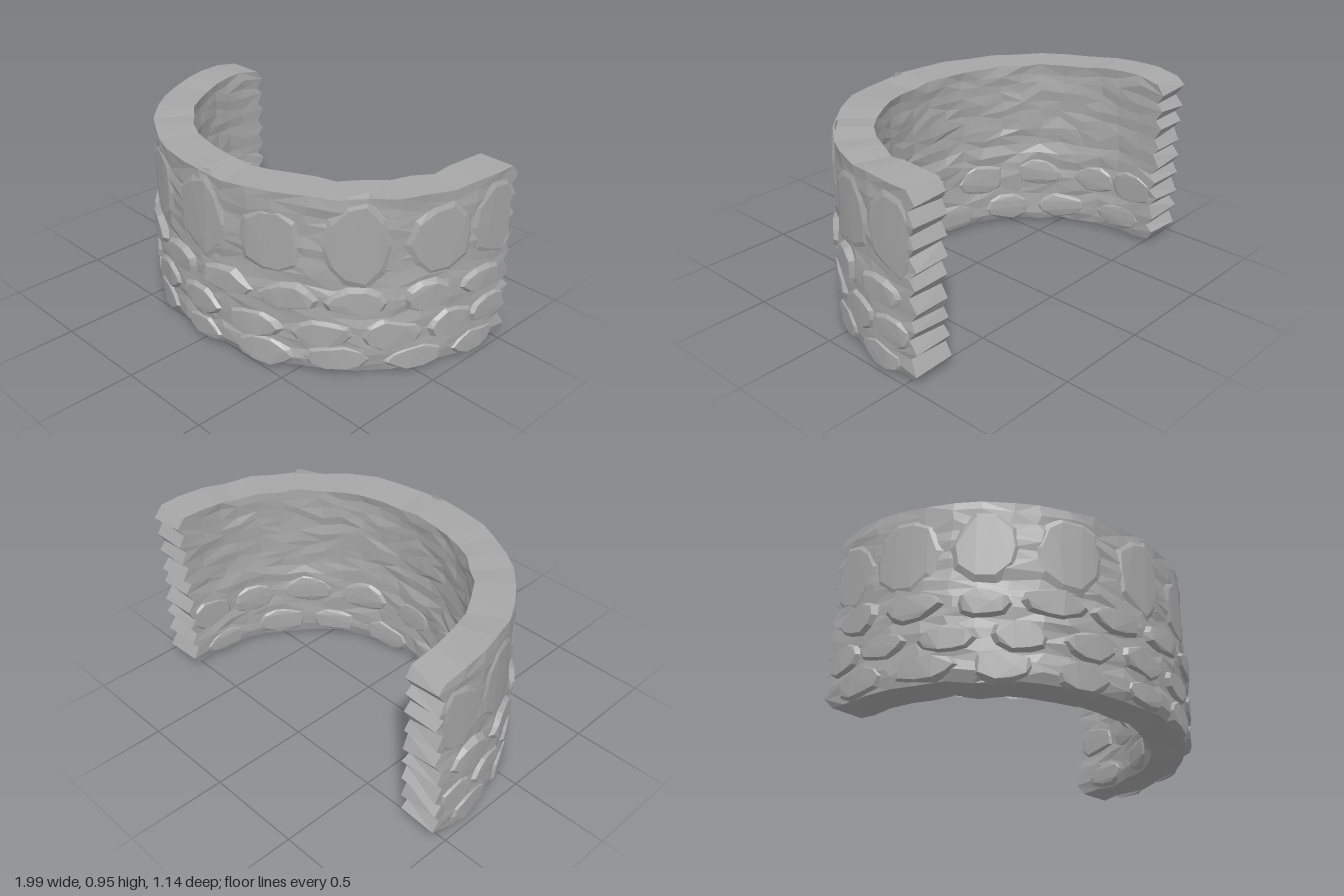
import * as THREE from 'three';
import { ConvexGeometry } from 'three/addons/geometries/ConvexGeometry.js';

const ARC = 0.91; // share of the path that is curved, the rest runs straight back

// Seeded random in -1..1
let seed = 7;
function rnd() {
  seed = (seed * 16807) % 2147483647;
  return (seed / 2147483647) * 2 - 1;
}

// Wall space to world: u = -1..1 along the wall, k = 0 inner face, 1 outer face
function place(u, y, k) {
  const a = THREE.MathUtils.clamp(u / ARC, -1, 1) * Math.PI / 2;
  const back = Math.max(0, (Math.abs(u) - ARC) / (1 - ARC)) * 0.14;
  const rx = 0.78 + 0.19 * k, rz = 0.74 + 0.205 * k;
  return new THREE.Vector3(rx * Math.sin(a), y, -0.4 + rz * Math.cos(a) - back);
}

// Wall body: cross-section loops swept along the path, closed with toothed ends
function wallGeometry() {
  const cols = 24, rows = 18, n = 2 * (rows + 1);
  const loops = [];
  for (let i = 0; i <= cols; i++) {
    const end = i === 0 || i === cols;
    const u0 = (i / cols) * 2 - 1;
    const top = 0.926 + 0.012 * rnd(), bottom = 0.022 + 0.01 * rnd();
    const loop = [];
    for (let side = 1; side >= 0; side--) {
      for (let r = 0; r <= rows; r++) {
        const j = side ? r : rows - r;
        const edge = j === 0 || j === rows;
        const tooth = end ? Math.sign(u0) * ((j % 2 ? 0.012 : -0.012) + 0.004 * rnd()) : 0.012 * rnd();
        const y = bottom + (top - bottom) * j / rows + (edge ? 0 : 0.012 * rnd());
        const low = j < 9 ? 0.04 : 0;
        const k = side
          ? 0.99 + low + 0.035 * rnd() - (j === 0 ? 0.08 : 0)
          : 0.01 - low + 0.035 * rnd() + (j === 0 ? 0.08 : 0);
        loop.push(place(u0 + tooth, y, k));
      }
    }
    loops.push(loop);
  }
  const pts = [];
  const quad = (a, b, c, d, flip) => flip ? pts.push(a, b, d, b, c, d) : pts.push(a, b, c, a, c, d);
  for (let i = 0; i < cols; i++) {
    for (let j = 0; j < n; j++) {
      const m = (j + 1) % n;
      quad(loops[i][j], loops[i + 1][j], loops[i + 1][m], loops[i][m], rnd() > 0);
    }
  }
  for (let j = 0; j < rows; j++) {
    const L = loops[0], R = loops[cols], p = n - 1 - j;
    quad(L[j], L[j + 1], L[p - 1], L[p], false);
    quad(R[j], R[p], R[p - 1], R[j + 1], false);
  }
  const g = new THREE.BufferGeometry().setFromPoints(pts);
  g.computeVertexNormals();
  return g;
}

// Chipped stone: wide rim sunk in the wall, smaller jittered face standing proud
function stoneGeometry(u, y, w, h, base, proud) {
  const pts = [];
  for (let i = 0; i < 10; i++) {
    const a = (i / 10) * Math.PI * 2;
    const c = Math.cos(a) * (1 + 0.12 * rnd()), s = Math.sin(a) * (1 + 0.15 * rnd());
    const at = (f, k) => place(
      THREE.MathUtils.clamp(u + c * w * f / 2, -0.985, 0.985),
      Math.max(0.004, y + s * h * f / 2), k);
    pts.push(at(1, base), at(0.75, proud + (proud - base) * 0.12 * rnd()));
  }
  for (const f of [-0.15, 0.15]) pts.push(place(u + f * w, y + 0.1 * h * rnd(), proud));
  return new ConvexGeometry(pts);
}

export function createModel() {
  seed = 7;
  const group = new THREE.Group();
  const stone = new THREE.MeshStandardMaterial({ color: 0xa6a6a6, flatShading: true });
  stone.name = 'grey stone';

  const add = (geometry, name, parent) => {
    const mesh = new THREE.Mesh(geometry, stone);
    mesh.name = name;
    parent.add(mesh);
  };
  add(wallGeometry(), 'wall', group);

  // Courses: name, count, shift, centre height, stone height, rim depth, face depth
  const courses = [
    ['footCourse', 9, 0, 0.085, 0.16, 0.9, 1.08],
    ['lowerCourse', 10, 0.5, 0.225, 0.17, 0.93, 1.11],
    ['middleCourse', 10, 0, 0.4, 0.16, 0.93, 1.13],
    ['upperCourse', 8, 0.5, 0.69, 0.46, 0.92, 1.03],
    ['innerFootCourse', 8, 0, 0.1, 0.17, 0.08, -0.08],
    ['innerMiddleCourse', 8, 0.5, 0.3, 0.2, 0.08, -0.07],
  ];
  for (const [name, count, shift, y, h, base, proud] of courses) {
    const course = new THREE.Group();
    course.name = name;
    const step = 1.94 / count;
    for (let i = 0; i < count + (shift ? 1 : 0); i++) {
      const u = THREE.MathUtils.clamp(-0.97 + (i + 0.5 - shift) * step, -0.92, 0.92) + 0.012 * rnd();
      add(stoneGeometry(u, y + 0.015 * rnd(), step * (0.95 + 0.1 * rnd()), h * (1 + 0.1 * rnd()), base, proud), 'stone', course);
    }
    group.add(course);
  }
  return group;
}
